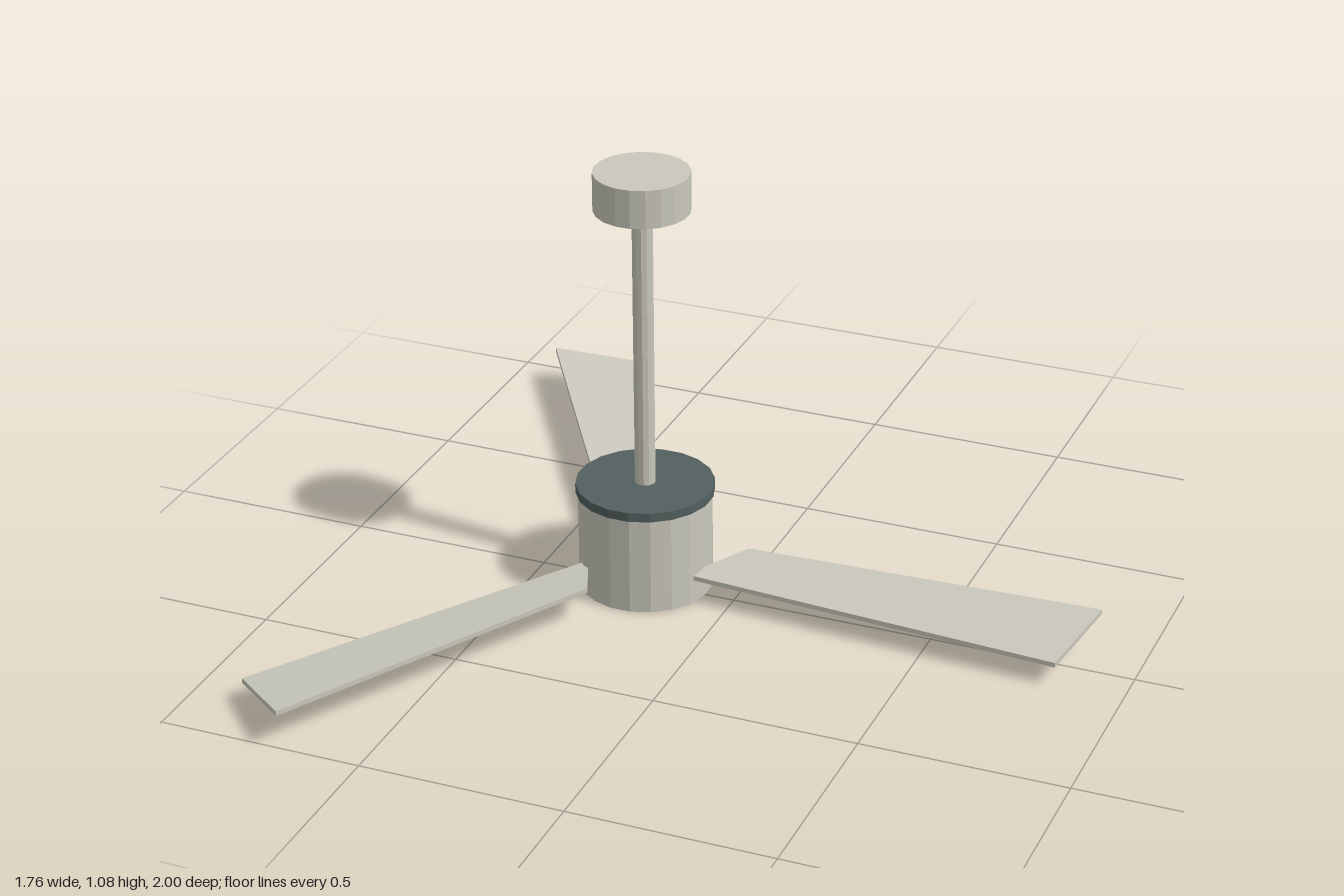
import * as THREE from 'three';

export function createModel() {
  const nickel = new THREE.MeshStandardMaterial({ color: 0xcac8bc });
  nickel.name = 'brushed nickel';
  const slate = new THREE.MeshStandardMaterial({ color: 0x52605f });
  slate.name = 'dark slate';
  nickel.flatShading = slate.flatShading = true;

  const fan = new THREE.Group();
  fan.name = 'ceilingFan';
  fan.position.set(-0.235, 0, -0.017); // rotor axis

  // Upright cylinder between two heights, with a flat side to the front
  function drum(name, radius, bottom, top, sides, material) {
    const geometry = new THREE.CylinderGeometry(radius, radius, top - bottom, sides);
    geometry.rotateY(Math.PI / sides);
    const mesh = new THREE.Mesh(geometry, material);
    mesh.name = name;
    mesh.position.y = (bottom + top) / 2;
    fan.add(mesh);
  }

  drum('motorHousing', 0.162, 0, 0.25, 20, nickel);
  drum('motorCollar', 0.168, 0.247, 0.27, 20, slate);
  drum('downRod', 0.025, 0.27, 0.98, 12, nickel);
  drum('ceilingCanopy', 0.115, 0.98, 1.075, 20, nickel);

  // Blade outline seen from above, as x and z
  const outline = [[0.13, 0.059], [0.235, -0.08], [1.115, -0.105], [1.07, 0.115]];
  const shape = new THREE.Shape(outline.map(([x, z]) => new THREE.Vector2(x, -z)));
  const thickness = 0.012;
  const bladeGeometry = new THREE.ExtrudeGeometry(shape, { depth: thickness, bevelEnabled: false });
  bladeGeometry.rotateX(-Math.PI / 2);

  // Pitch the blade: its trailing edge sits higher than its leading edge
  const p = bladeGeometry.attributes.position;
  for (let i = 0; i < p.count; i++) {
    p.setY(i, p.getY(i) + 0.074 - thickness / 2 - 0.155 * p.getZ(i));
  }
  bladeGeometry.computeVertexNormals();

  for (let i = 0; i < 3; i++) {
    const blade = new THREE.Mesh(bladeGeometry, nickel);
    blade.name = 'blade' + (i + 1);
    blade.rotation.y = (i * Math.PI * 2) / 3;
    fan.add(blade);
  }

  const model = new THREE.Group();
  model.add(fan);
  return model;
}
